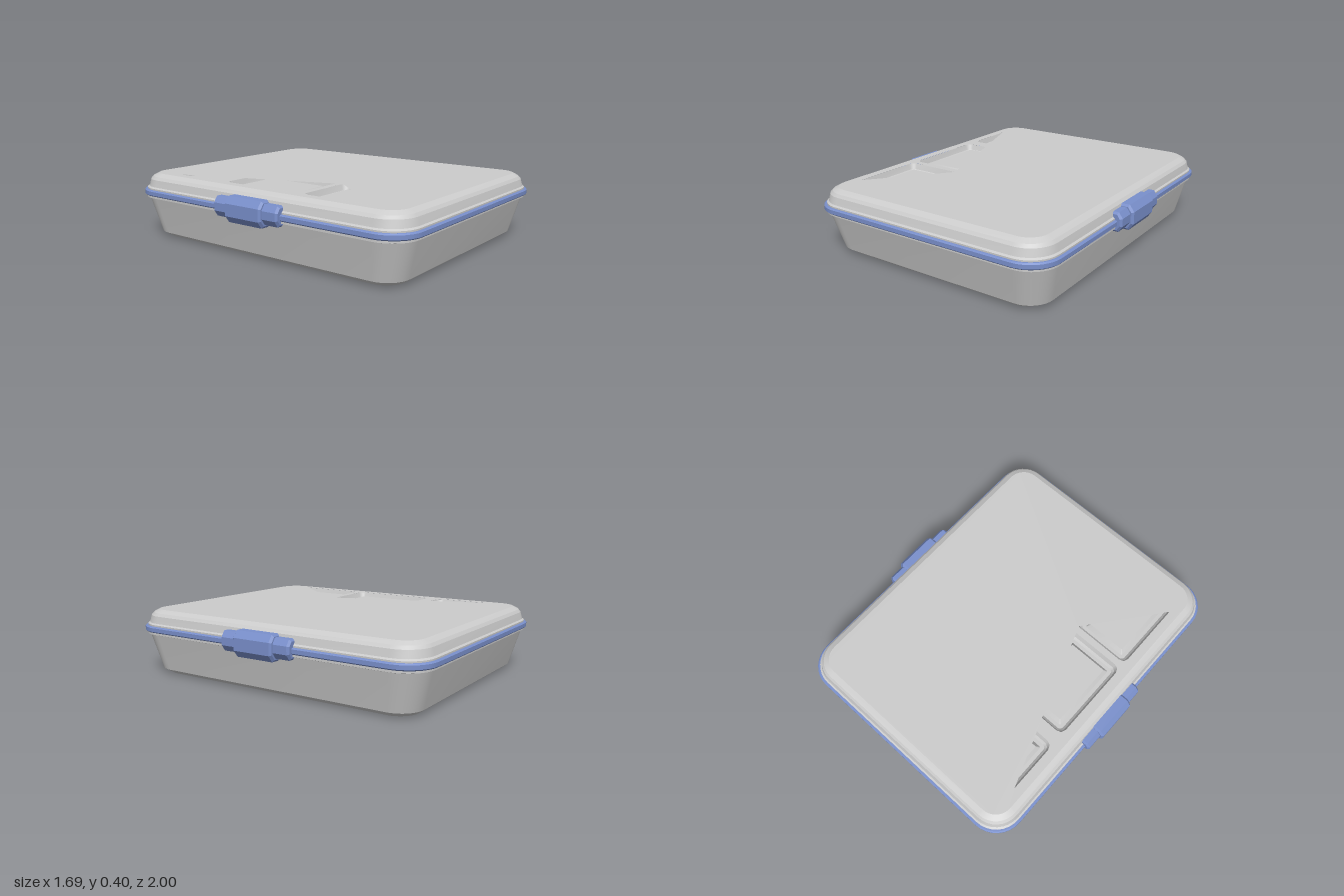
import * as THREE from 'three';
import { toCreasedNormals } from 'three/addons/utils/BufferGeometryUtils.js';

const grey = new THREE.MeshStandardMaterial({ color: 0xcccccc });
const greyOpen = new THREE.MeshStandardMaterial({ color: 0xcccccc, side: THREE.DoubleSide });
const blue = new THREE.MeshStandardMaterial({ color: 0x7a90cc });

// Rounded rectangle, counter-clockwise from above: half sizes, corner radius, centre
function ring(hx, hz, r, cx = 0, cz = 0, segs = 8) {
  const pts = [];
  [[1, -1], [-1, -1], [-1, 1], [1, 1]].forEach(([sx, sz], q) => {
    for (let i = 0; i <= segs; i++) {
      const a = (q + i / segs) * Math.PI / 2;
      pts.push([cx + sx * (hx - r) + r * Math.cos(a), cz + sz * (hz - r) - r * Math.sin(a)]);
    }
  });
  return pts;
}

// Skin through rounded rectangles given as [hx, hz, radius, y]
function loft(sections, { cx = 0, cz = 0, bottom = false, top = false } = {}) {
  const rings = sections.map(([hx, hz, r, y]) => ring(hx, hz, r, cx, cz).map(([x, z]) => [x, y, z]));
  const pos = [];
  const tri = (...p) => p.forEach((v) => pos.push(...v));
  const n = rings[0].length;
  for (let j = 0; j < n; j++) {
    const k = (j + 1) % n;
    for (let i = 0; i + 1 < rings.length; i++) {
      const a = rings[i], b = rings[i + 1];
      tri(a[j], a[k], b[k]);
      tri(a[j], b[k], b[j]);
    }
    const first = rings[0], last = rings[rings.length - 1];
    if (bottom) tri(first[k], first[j], [cx, first[j][1], cz]);
    if (top) tri(last[j], last[k], [cx, last[j][1], cz]);
  }
  const g = new THREE.BufferGeometry();
  g.setAttribute('position', new THREE.Float32BufferAttribute(pos, 3));
  return toCreasedNormals(g, 0.3);
}

function add(parent, name, geometry, material) {
  const mesh = new THREE.Mesh(geometry, material);
  mesh.name = name;
  parent.add(mesh);
  return mesh;
}

// Bar along z with a chamfered profile, reaching from the rim out to xOut
function clipBar(halfZ, yLow, yHigh, xOut, cut) {
  const xIn = 0.765, bevel = 0.012;
  const s = new THREE.Shape([
    [xIn, yLow + bevel], [xOut - cut, yLow + bevel], [xOut - bevel, yLow + cut + 0.008],
    [xOut - bevel, yHigh - cut - 0.008], [xOut - cut, yHigh - bevel], [xIn, yHigh - bevel],
  ].map(([x, y]) => new THREE.Vector2(x, y)));
  const g = new THREE.ExtrudeGeometry(s, {
    depth: 2 * (halfZ - bevel), bevelEnabled: true, bevelSize: bevel, bevelThickness: bevel, bevelSegments: 1,
  });
  g.translate(0, 0, -(halfZ - bevel));
  return toCreasedNormals(g, 0.3);
}

export function createModel() {
  const model = new THREE.Group();
  model.name = 'lunchBox';

  // Tapered container with a chamfered foot and a lip
  add(model, 'container', loft([
    [0.68, 0.87, 0.12, 0], [0.725, 0.91, 0.14, 0.03], [0.775, 0.97, 0.16, 0.25],
    [0.79, 0.985, 0.17, 0.255], [0.79, 0.985, 0.17, 0.275],
  ], { bottom: true, top: true }), grey);

  // Seal between container and lid
  add(model, 'seal', loft([
    [0.77, 0.97, 0.15, 0.268], [0.793, 0.993, 0.175, 0.268], [0.8, 1, 0.18, 0.275],
    [0.8, 1, 0.18, 0.298], [0.793, 0.993, 0.175, 0.305], [0.77, 0.97, 0.15, 0.305],
  ]), blue);

  // Lid sides
  const lid = new THREE.Group();
  lid.name = 'lid';
  model.add(lid);
  add(lid, 'lidSides', loft([
    [0.785, 0.985, 0.17, 0.3], [0.785, 0.985, 0.17, 0.314], [0.775, 0.975, 0.165, 0.322],
    [0.765, 0.963, 0.155, 0.365], [0.75, 0.95, 0.145, 0.382], [0.715, 0.915, 0.11, 0.4],
  ]), grey);

  // Lid top with three slanted windows, outlined in x and z
  const toShape = (P, pts) => new P(pts.map(([x, z]) => new THREE.Vector2(x, -z)));
  const lidTop = toShape(THREE.Shape, ring(0.715, 0.915, 0.11));
  const windows = [
    [[-0.66, -0.71], [-0.66, -0.42], [-0.648, -0.39], [-0.62, -0.38], [-0.54, -0.38]],
    [[-0.51, -0.3], [-0.62, -0.3], [-0.648, -0.29], [-0.66, -0.26], [-0.66, 0.2],
      [-0.648, 0.23], [-0.62, 0.24], [-0.32, 0.24]],
    [[-0.3, 0.28], [-0.62, 0.28], [-0.648, 0.29], [-0.66, 0.32], [-0.66, 0.73]],
  ];
  windows.forEach((w) => lidTop.holes.push(toShape(THREE.Path, w)));
  const topGeometry = new THREE.ShapeGeometry(lidTop);
  topGeometry.rotateX(-Math.PI / 2).translate(0, 0.4, 0);
  add(lid, 'lidTop', topGeometry, greyOpen);

  // Recessed panels under the windows: a groove around a raised centre
  [[-0.76, -0.38], [-0.3, 0.24], [0.28, 0.8]].forEach(([z0, z1]) => {
    const hx = 0.19, hz = (z1 - z0) / 2;
    const inset = (d, r, y) => [hx - d, hz - d, r, y];
    add(lid, 'recessedPanel', loft([
      inset(0, 0.04, 0.399), inset(0.012, 0.035, 0.365), inset(0.026, 0.025, 0.352),
      inset(0.048, 0.01, 0.352), inset(0.068, 0.005, 0.382),
    ], { cx: -0.47, cz: (z0 + z1) / 2, top: true }), grey);
  });

  // A clip on each long side
  [1, -1].forEach((side) => {
    const clip = new THREE.Group();
    clip.name = side > 0 ? 'leftClip' : 'rightClip';
    clip.rotation.y = side > 0 ? 0 : Math.PI;
    add(clip, 'hinge', clipBar(0.24, 0.235, 0.35, 0.827, 0.03), blue);
    add(clip, 'latch', clipBar(0.135, 0.215, 0.365, 0.845, 0.035), blue);
    model.add(clip);
  });

  return model;
}
